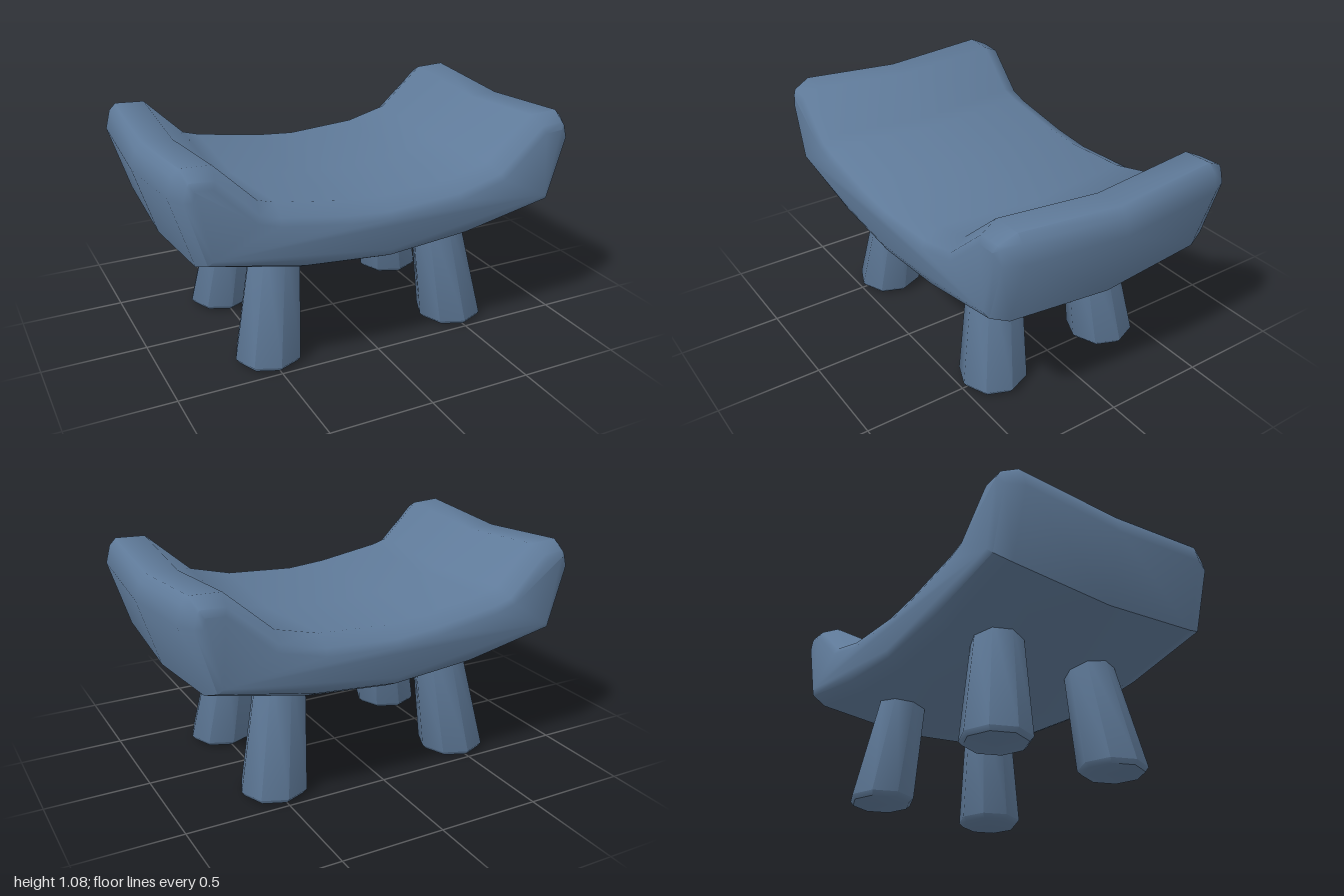
import * as THREE from 'three';
import { toCreasedNormals, mergeVertices } from 'three/addons/utils/BufferGeometryUtils.js';

const CREASE = 0.9;

// Side outline of the curved seat, counter-clockwise from the bottom middle
const OUTLINE = [
  [0, 0.5], [0.41, 0.535], [0.885, 0.635], [0.985, 0.96], [0.962, 1.045], [0.93, 1.078],
  [0.785, 1.072], [0.56, 0.872], [0.35, 0.818], [0, 0.796], [-0.2, 0.812], [-0.52, 0.862], [-0.6, 0.885],
  [-0.79, 1.072], [-0.93, 1.08], [-0.962, 1.048], [-0.985, 0.96], [-0.885, 0.635], [-0.41, 0.535],
].map(([x, y]) => new THREE.Vector2(x, y));

// Pull every outline point inwards along its averaged edge normal
function inset(points, amount) {
  const n = points.length;
  return points.map((p, i) => {
    const d1 = p.clone().sub(points[(i + n - 1) % n]).normalize();
    const d2 = points[(i + 1) % n].clone().sub(p).normalize();
    const d = d1.add(d2).normalize();
    return new THREE.Vector2(p.x - d.y * amount, p.y + d.x * amount);
  });
}

// Sections from back to front: rounded ends, full body, sagging middle
function seatGeometry() {
  const sections = [
    { z: -0.608, inset: 0.075, drop: 0, widen: 1 },
    { z: -0.592, inset: 0.042, drop: 0, widen: 1 },
    { z: -0.51, inset: 0, drop: 0, widen: 1 },
    { z: 0, inset: 0, drop: 0.042, widen: 1.015 },
    { z: 0.51, inset: 0, drop: 0, widen: 1 },
    { z: 0.592, inset: 0.042, drop: 0, widen: 1 },
    { z: 0.608, inset: 0.075, drop: 0, widen: 1 },
  ];
  const n = OUTLINE.length;
  const pos = [];
  const index = [];
  sections.forEach((s) => {
    inset(OUTLINE, s.inset).forEach((p) => pos.push(p.x * s.widen, p.y - s.drop, s.z));
  });
  for (let i = 0; i < sections.length - 1; i++) {
    for (let j = 0; j < n; j++) {
      const k = (j + 1) % n;
      const a = i * n + j, b = i * n + k, c = b + n, d = a + n;
      index.push(a, b, c, a, c, d);
    }
  }
  // End caps
  const last = (sections.length - 1) * n;
  const cap = inset(OUTLINE, sections[0].inset);
  THREE.ShapeUtils.triangulateShape(cap, []).forEach(([a, b, c]) => {
    index.push(last + a, last + b, last + c, c, b, a);
  });
  const geo = new THREE.BufferGeometry();
  geo.setAttribute('position', new THREE.Float32BufferAttribute(pos, 3));
  geo.setIndex(index);
  return toCreasedNormals(geo, CREASE);
}

// Tapered eight-sided leg, splayed outwards towards the floor
function legGeometry(sx, sz) {
  const profile = [[0, 0], [0.145, 0.003], [0.164, 0.025], [0.12, 0.6], [0, 0.6]]
    .map(([r, y]) => new THREE.Vector2(r, y));
  const geo = new THREE.LatheGeometry(profile, 8);
  geo.deleteAttribute('normal');
  geo.deleteAttribute('uv');
  const p = geo.attributes.position;
  for (let i = 0; i < p.count; i++) {
    const t = p.getY(i) / 0.6;
    p.setX(i, p.getX(i) + sx * (0.503 - 0.08 * t));
    p.setZ(i, p.getZ(i) + sz * (0.33 - 0.065 * t));
  }
  return toCreasedNormals(mergeVertices(geo), CREASE);
}

export function createModel() {
  const model = new THREE.Group();
  model.name = 'stool';
  const blue = new THREE.MeshStandardMaterial({ name: 'slate blue', color: 0x5f7a99 });

  const seat = new THREE.Mesh(seatGeometry(), blue);
  seat.name = 'seat';
  model.add(seat);

  for (const [sx, side] of [[1, 'Left'], [-1, 'Right']]) {
    for (const [sz, end] of [[1, 'front'], [-1, 'back']]) {
      const leg = new THREE.Mesh(legGeometry(sx, sz), blue);
      leg.name = `${end}${side}Leg`;
      model.add(leg);
    }
  }
  return model;
}
